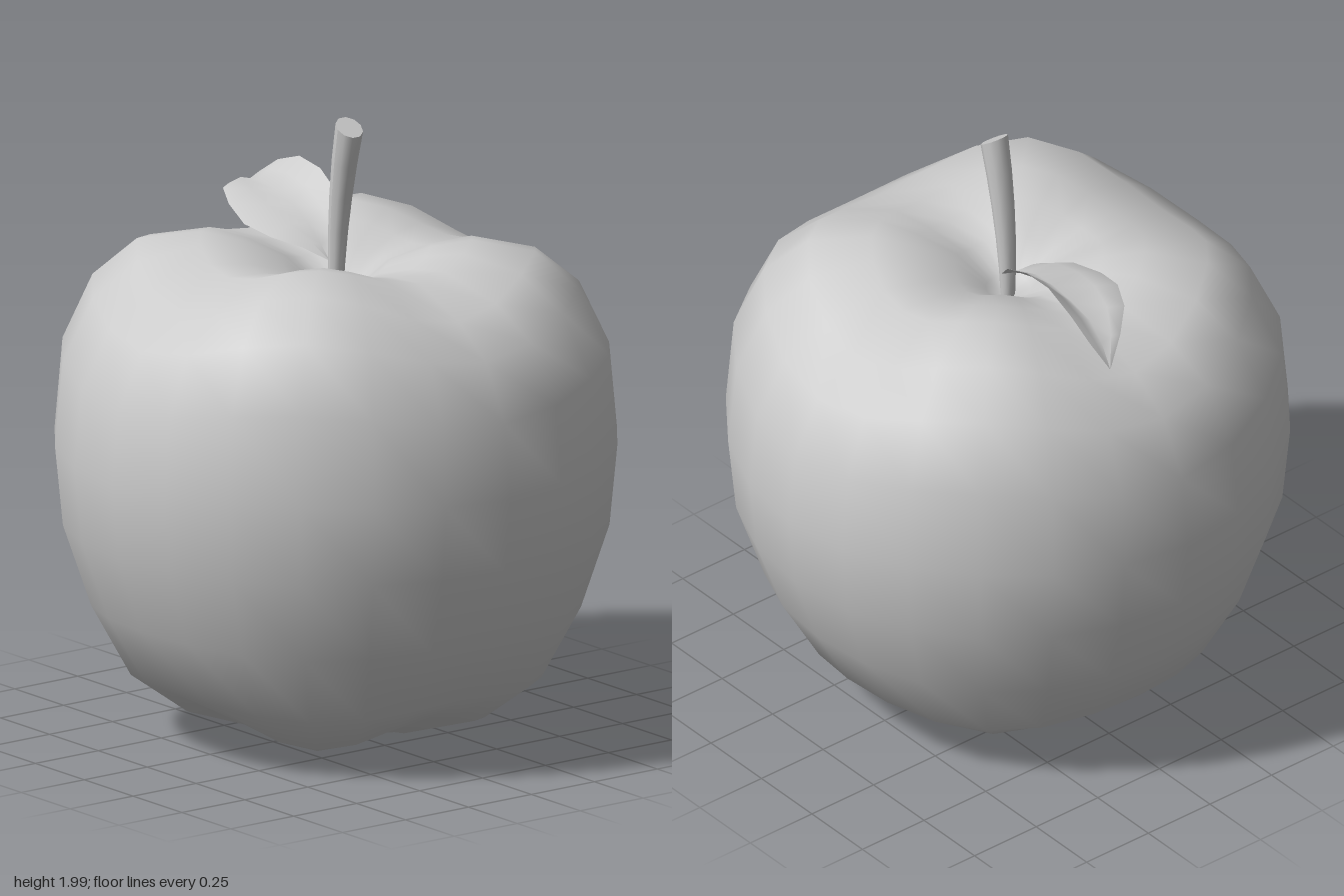
import * as THREE from 'three';
import { mergeVertices } from 'three/addons/utils/BufferGeometryUtils.js';

const material = new THREE.MeshStandardMaterial({ color: 0xcccccc });
const leafMaterial = new THREE.MeshStandardMaterial({ color: 0xcccccc, side: THREE.DoubleSide });

function addMesh(group, name, geometry, mat = material) {
  const mesh = new THREE.Mesh(geometry, mat);
  mesh.name = name;
  group.add(mesh);
}

// Fruit: a lathe whose rings rise and fall in four lobes on the diagonals
function fruitGeometry() {
  const rings = [ // radius, mean height, lobe height
    [0, 0.12, 0], [0.1, 0.07, 0.008], [0.23, 0.024, -0.018], [0.47, 0.1, -0.04],
    [0.65, 0.215, -0.018], [0.775, 0.44, -0.01], [0.865, 0.7, 0], [0.89, 0.95, 0.01],
    [0.865, 1.215, 0.035], [0.77, 1.41, 0.05], [0.63, 1.52, 0.06], [0.43, 1.577, 0.033],
    [0.3, 1.56, 0.024], [0.17, 1.52, 0.015], [0.07, 1.445, 0], [0, 1.41, 0],
  ];
  const lathe = new THREE.LatheGeometry(rings.map(([r, y]) => new THREE.Vector2(r, y)), 24);
  const pos = lathe.attributes.position;
  for (let i = 0; i < pos.count; i++) {
    const lobe = rings[i % rings.length][2];
    const angle = Math.atan2(pos.getZ(i), pos.getX(i));
    pos.setY(i, pos.getY(i) - lobe * Math.cos(4 * angle));
  }
  lathe.deleteAttribute('uv');
  lathe.deleteAttribute('normal');
  const geometry = mergeVertices(lathe, 1e-4);
  geometry.computeVertexNormals();
  return geometry;
}

// Stem: a cylinder widening upward, bent towards +x with a slanted end
function stemGeometry() {
  const geometry = new THREE.CylinderGeometry(0.046, 0.022, 1, 10, 5);
  const pos = geometry.attributes.position;
  for (let i = 0; i < pos.count; i++) {
    const t = pos.getY(i) + 0.5;
    const x = pos.getX(i);
    const tilt = 0.58 * t * t;
    pos.setX(i, 0.068 * t * t + x * Math.cos(tilt));
    pos.setY(i, 1.4 + 0.575 * t - x * Math.sin(tilt));
  }
  geometry.computeVertexNormals();
  return geometry;
}

// Leaf: cross-sections from front edge over the midrib to the raised back edge
function leafGeometry() {
  const sections = [ // x, then z and y of front edge, midrib and back edge
    [-0.03, 0, 1.52, 0, 1.52, 0, 1.52],
    [-0.09, 0.06, 1.56, -0.01, 1.56, -0.1, 1.59],
    [-0.18, 0.118, 1.585, -0.03, 1.605, -0.15, 1.68],
    [-0.3, 0.132, 1.605, -0.06, 1.64, -0.17, 1.737],
    [-0.42, 0.1, 1.64, -0.085, 1.655, -0.18, 1.75],
    [-0.54, 0.03, 1.655, -0.11, 1.66, -0.188, 1.712],
    [-0.63, -0.06, 1.635, -0.135, 1.632, -0.185, 1.655],
    [-0.69, -0.15, 1.57, -0.15, 1.57, -0.15, 1.57],
  ];
  const points = [];
  const index = [];
  sections.forEach(([x, zf, yf, zr, yr, zb, yb], s) => {
    const bulge = 0.15 * (zf - zr); // the front half arches before it droops
    points.push(x, yf, zf, x, (yf + yr) / 2 + bulge, (zf + zr) / 2, x, yr, zr,
      x, (yr + yb) / 2, (zr + zb) / 2, x, yb, zb);
    if (s === 0) return;
    for (let k = 0; k < 4; k++) {
      const a = (s - 1) * 5 + k;
      const b = a + 5;
      index.push(a, a + 1, b, a + 1, b + 1, b);
    }
  });
  const geometry = new THREE.BufferGeometry();
  geometry.setAttribute('position', new THREE.Float32BufferAttribute(points, 3));
  geometry.setIndex(index);
  geometry.computeVertexNormals();
  return geometry;
}

export function createModel() {
  const group = new THREE.Group();
  group.name = 'apple';
  addMesh(group, 'fruit', fruitGeometry());
  addMesh(group, 'stem', stemGeometry());
  addMesh(group, 'leaf', leafGeometry(), leafMaterial);
  return group;
}
